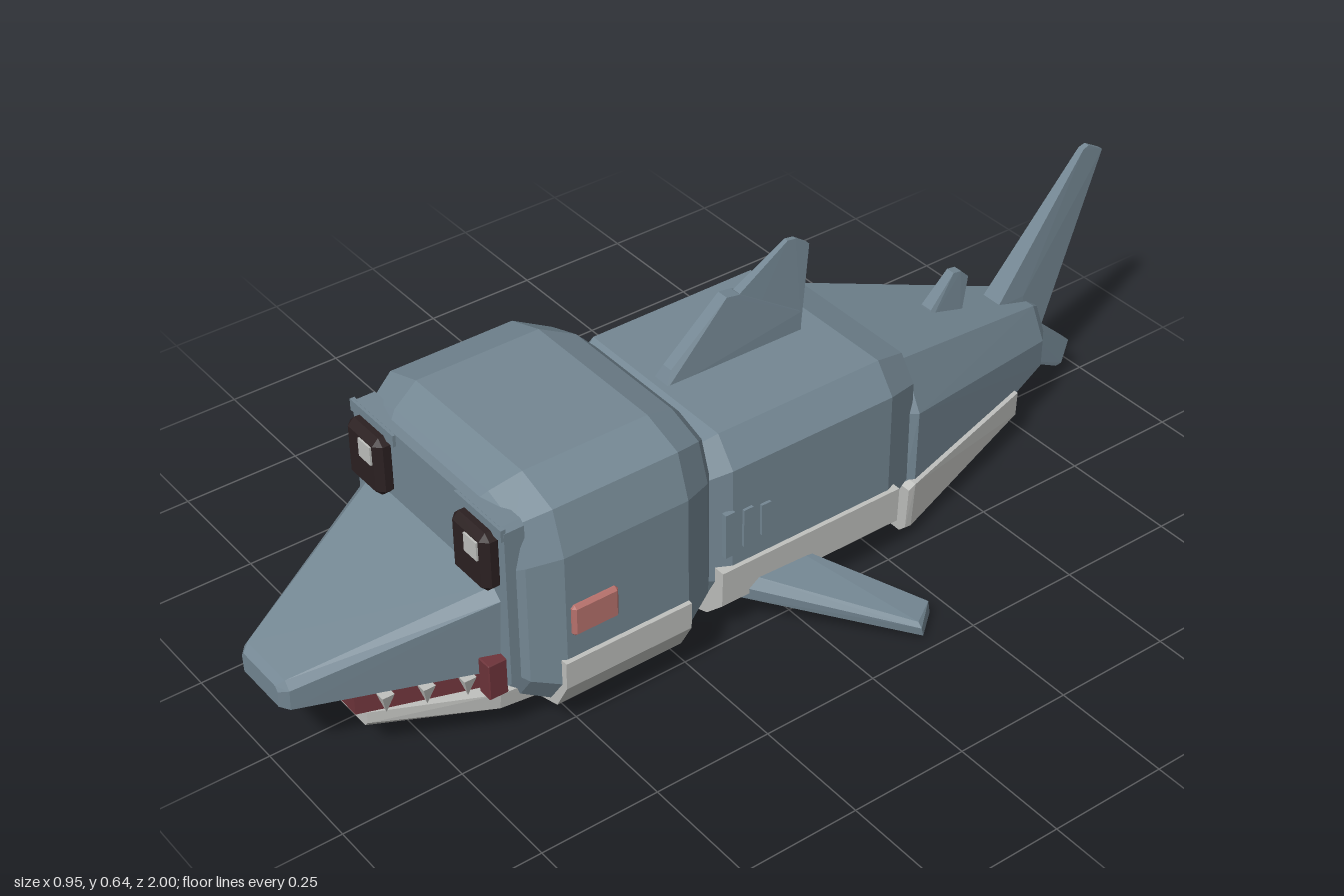
import * as THREE from 'three';
import { ConvexGeometry } from 'three/addons/geometries/ConvexGeometry.js';

export function createModel() {
  const root = new THREE.Group();
  root.name = 'shark';
  const mat = (name, color) => {
    const m = new THREE.MeshStandardMaterial({ color });
    m.name = name;
    return m;
  };
  const skin = mat('slate skin', 0x748793);
  const pale = mat('pale belly', 0xc0c1be);
  const dark = mat('eye black', 0x2b2021);
  const gumRed = mat('gum red', 0x6e343a);
  const pink = mat('cheek pink', 0xb8726d);

  const add = (name, geometry, material) => {
    const mesh = new THREE.Mesh(geometry, material);
    mesh.name = name;
    root.add(mesh);
    return mesh;
  };
  const hull = (name, pts, material) =>
    add(name, new ConvexGeometry(pts.map((p) => new THREE.Vector3(...p))), material);

  // Mirrored half-profile [x, y] placed at depth z, optionally scaled about height cy
  const ring = (z, profile, s = 1, cy = 0) =>
    profile.flatMap(([x, y]) => [1, -1].map((k) => [k * x * s, cy + (y - cy) * s, z]));

  // Box with bevelled edges, built from three crossing slabs
  const bevelBox = (name, [cx, cy, cz], [w, h, d], b, material) => {
    const pts = [];
    for (const i of [-1, 1]) for (const j of [-1, 1]) for (const k of [-1, 1]) {
      const x = (i * w) / 2, y = (j * h) / 2, z = (k * d) / 2;
      pts.push([cx + x, cy + y - j * b, cz + z - k * b],
        [cx + x - i * b, cy + y, cz + z - k * b],
        [cx + x - i * b, cy + y - j * b, cz + z]);
    }
    return hull(name, pts, material);
  };

  // Upright fin from side outline points [z, y, halfThickness]
  const fin = (name, outline) =>
    hull(name, outline.flatMap(([z, y, t]) => [[t, y, z], [-t, y, z]]), skin);

  // Head
  const headP = [[0.17, 0.54], [0.26, 0.51], [0.29, 0.42], [0.29, 0.13], [0.25, 0.07], [0.14, 0.045]];
  hull('head', [[0.17, 0.76], [0.2, 0.88], [0.27, 1], [0.54, 1], [0.6, 0.89], [0.615, 0.83]]
    .flatMap(([z, s]) => ring(z, headP, s, 0.29)), skin);
  hull('facePlate', [0.59, 0.632].flatMap((z) =>
    ring(z, [[0.235, 0.5], [0.245, 0.49], [0.245, 0.15], [0.215, 0.12]])), skin);
  hull('headBelly', [0.27, 0.55].flatMap((z) =>
    ring(z, [[0.3, 0.19], [0.298, 0.13], [0.265, 0.07], [0.15, 0.035]])), pale);

  // Trunk
  const bodyP = [[0.195, 0.45], [0.24, 0.39], [0.24, 0.13], [0.2, 0.055], [0.1, 0.02]];
  hull('trunk', [[0.19, 0.87], [0.13, 1], [-0.25, 1], [-0.335, 0.85]]
    .flatMap(([z, s]) => ring(z, bodyP, s, 0.22)), skin);
  hull('trunkBelly', [0.16, -0.27].flatMap((z) =>
    ring(z, [[0.25, 0.17], [0.247, 0.09], [0.2, 0.045], [0.08, 0.003]])), pale);

  // Tail
  hull('tail', [
    ...ring(-0.315, [[0.15, 0.385], [0.2, 0.3], [0.2, 0.07]]),
    ...ring(-0.34, [[0.165, 0.4], [0.22, 0.3], [0.215, 0.06], [0.18, 0.035]]),
    ...ring(-0.8, [[0.045, 0.268], [0.08, 0.2], [0.08, 0.14], [0.06, 0.115]]),
    ...ring(-0.825, [[0.03, 0.25], [0.055, 0.2], [0.05, 0.14]]),
  ], skin);
  hull('tailBelly', [
    ...ring(-0.315, [[0.228, 0.13], [0.222, 0.035], [0.205, 0.018]]),
    ...ring(-0.33, [[0.23, 0.14], [0.222, 0.033], [0.205, 0.016]]),
    ...ring(-0.7, [[0.12, 0.135], [0.118, 0.08], [0.1, 0.063]]),
  ], pale);

  // Snout and mouth
  hull('snout', [
    ...ring(0.62, [[0.205, 0.352], [0.228, 0.33], [0.215, 0.16]]),
    ...ring(0.985, [[0.065, 0.222], [0.078, 0.205], [0.075, 0.16]]),
    ...ring(1.0, [[0.055, 0.21], [0.062, 0.2], [0.06, 0.165]]),
  ], skin);
  hull('gum', [...ring(0.6, [[0.212, 0.165], [0.212, 0.12]]),
    ...ring(0.88, [[0.115, 0.165], [0.115, 0.12]])], gumRed);
  hull('lowerJaw', [
    ...ring(0.52, [[0.23, 0.11], [0.225, 0.07], [0.19, 0.05]]),
    ...ring(0.64, [[0.22, 0.112], [0.215, 0.075], [0.185, 0.06]]),
    ...ring(0.86, [[0.12, 0.117], [0.12, 0.092], [0.11, 0.08]]),
  ], pale);

  const tooth = (x, z) => {
    const geo = new THREE.ConeGeometry(0.018, 0.045, 4, 1).toNonIndexed();
    geo.computeVertexNormals();
    const t = add('tooth', geo, pale);
    t.rotation.set(Math.PI, Math.PI / 4, 0);
    t.position.set(x, 0.138, z);
  };

  for (const s of [1, -1]) {
    // Teeth: front pair plus a row along each side
    tooth(s * 0.036, 0.88);
    for (const z of [0.83, 0.76, 0.69]) tooth(s * (0.12 + (0.88 - z) * 0.36), z);
    bevelBox('mouthCorner', [s * 0.214, 0.16, 0.65], [0.034, 0.08, 0.04], 0.002, gumRed);

    // Eyes, with the highlight on the same side of both
    bevelBox('eye', [s * 0.172, 0.418, 0.642], [0.11, 0.128, 0.044], 0.014, dark);
    const glint = add('eyeHighlight', new THREE.BoxGeometry(0.04, 0.04, 0.008), pale);
    glint.position.set(s * 0.172 + 0.018, 0.446, 0.664);
    const brow = add('brow', new THREE.BoxGeometry(0.145, 0.025, 0.01), skin);
    brow.position.set(s * 0.172, 0.487, 0.633);

    // Cheek patch
    bevelBox('cheekPatch', [s * 0.29, 0.275, 0.48], [0.02, 0.068, 0.1], 0.006, pink);

    // Gill ridges
    [[0.14, 0.25, 0.1], [0.097, 0.25, 0.085], [0.055, 0.25, 0.07]].forEach(([z, y, h]) => {
      const gill = add('gill', new THREE.BoxGeometry(0.012, h, 0.022), skin);
      gill.position.set(s * 0.24, y, z);
    });

    // Pectoral fin, swept back and down
    hull('pectoralFin', [
      [0.2, 0.135, 0.12], [0.2, 0.115, 0.145], [0.2, 0.085, 0.14],
      [0.2, 0.13, -0.02], [0.2, 0.08, -0.035],
      [0.465, 0.045, -0.14], [0.475, 0.035, -0.14], [0.475, 0.015, -0.145],
      [0.43, 0.045, -0.195], [0.43, 0.015, -0.2],
    ].map(([x, y, z]) => [s * x, y, z]), skin);
  }

  // Dorsal fin: low front wedge and tall rear blade
  fin('dorsalFinFront', [[0.12, 0.44, 0.022], [0.1, 0.475, 0.012], [-0.03, 0.585, 0.013],
    [-0.06, 0.58, 0.014], [-0.2, 0.49, 0.025], [-0.2, 0.44, 0.026]]);
  fin('dorsalFinBlade', [[-0.04, 0.565, 0.011], [-0.18, 0.648, 0.005], [-0.2, 0.645, 0.005],
    [-0.232, 0.622, 0.006], [-0.205, 0.46, 0.02], [-0.06, 0.46, 0.02]]);
  fin('rearDorsalFin', [[-0.54, 0.32, 0.02], [-0.545, 0.345, 0.014], [-0.605, 0.408, 0.01],
    [-0.625, 0.405, 0.01], [-0.645, 0.385, 0.01], [-0.62, 0.29, 0.02]]);

  // Tail fin lobes
  fin('tailFinUpper', [[-0.72, 0.285, 0.024], [-0.79, 0.285, 0.024], [-0.945, 0.568, 0.007],
    [-0.96, 0.573, 0.006], [-1.0, 0.55, 0.006], [-0.85, 0.18, 0.02], [-0.8, 0.14, 0.024]]);
  fin('tailFinLower', [[-0.8, 0.2, 0.024], [-0.85, 0.19, 0.02], [-0.945, 0.105, 0.012],
    [-0.93, 0.052, 0.012], [-0.915, 0.05, 0.012], [-0.77, 0.13, 0.024]]);

  return root;
}
